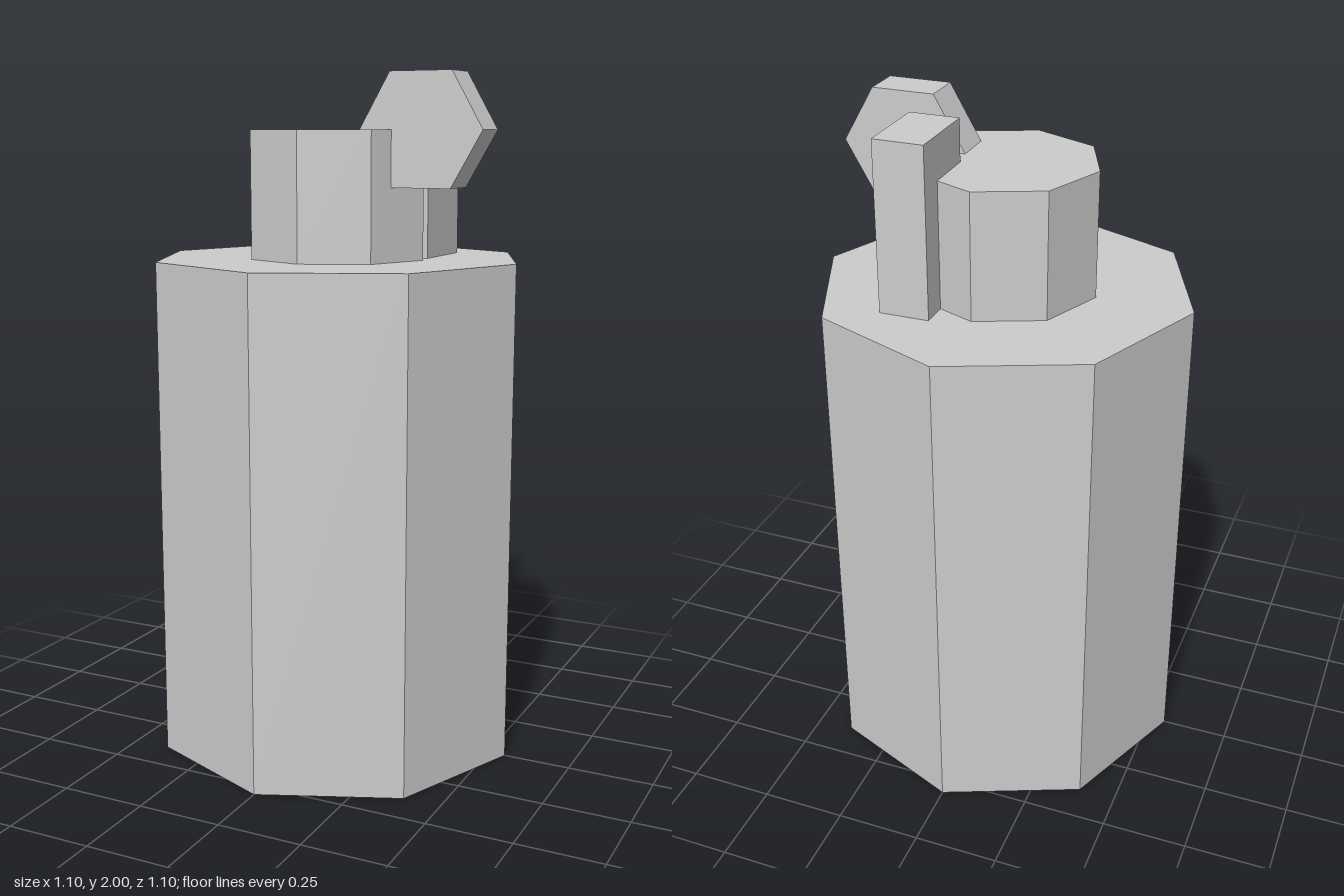
import * as THREE from 'three';

export function createModel() {
  const model = new THREE.Group();
  const grey = new THREE.MeshStandardMaterial({ color: 0xcccccc, flatShading: true });
  grey.name = 'light grey';

  function add(name, geometry, x, y, z) {
    const mesh = new THREE.Mesh(geometry, grey);
    mesh.name = name;
    mesh.position.set(x, y, z);
    model.add(mesh);
  }

  // Octagonal canister and the narrower neck on top
  const bodyHeight = 1.472, neckHeight = 0.37;
  add('body', new THREE.CylinderGeometry(0.552, 0.552, bodyHeight, 8), 0, bodyHeight / 2, 0);
  add('neck', new THREE.CylinderGeometry(0.269, 0.269, neckHeight, 8), 0, bodyHeight + neckHeight / 2, 0);

  // Upright block at the back left of the neck
  const postHeight = 0.493;
  add('post', new THREE.BoxGeometry(0.147, postHeight, 0.242), 0.183, bodyHeight + postHeight / 2, -0.185);

  // Hexagonal wheel with corners pointing left and right
  const wheel = new THREE.CylinderGeometry(0.184, 0.184, 0.12, 6);
  wheel.rotateY(Math.PI / 6).rotateX(Math.PI / 2);
  add('wheel', wheel, 0.305, 1.841, 0.06);

  return model;
}
